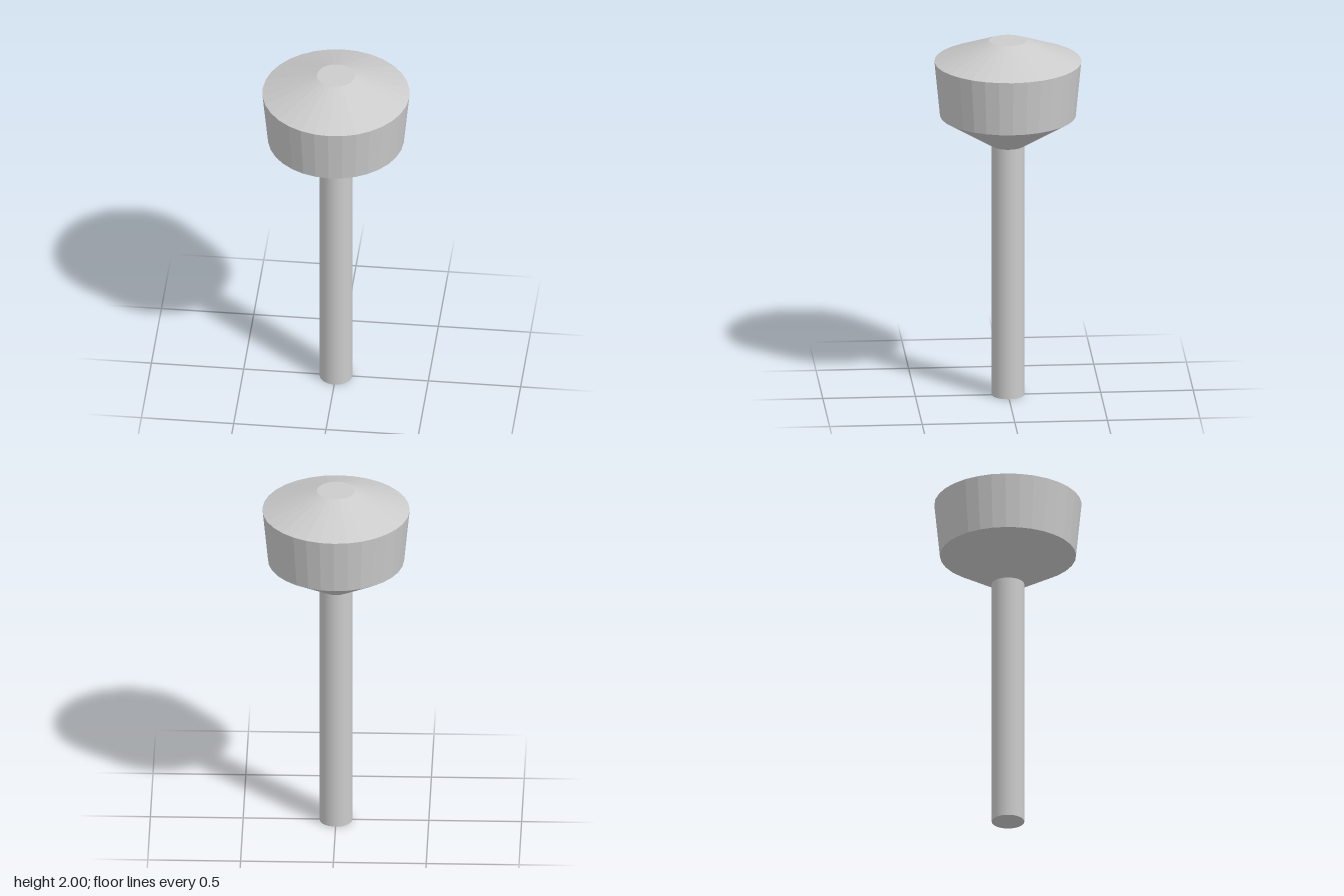
import * as THREE from 'three';

const SIDES = 32;

export function createModel() {
  const group = new THREE.Group();
  const add = (name, geometry, flatShading) => {
    const material = new THREE.MeshStandardMaterial({ color: 0xcccccc, flatShading });
    const mesh = new THREE.Mesh(geometry, material);
    mesh.name = name;
    group.add(mesh);
    return mesh;
  };

  // Smooth round shaft, running up to the underside of the head
  const stemHeight = 1.412;
  add('stem', new THREE.CylinderGeometry(0.088, 0.088, stemHeight, SIDES), false)
    .position.y = stemHeight / 2;

  // Faceted head: lower cone, slightly flared band, sloping roof and flat cap
  const profile = [
    [0, 1.41], [0.088, 1.41], [0.367, 1.58], [0.397, 1.884], [0.102, 2], [0, 2],
  ].map(([r, y]) => new THREE.Vector2(r, y));
  add('head', new THREE.LatheGeometry(profile, SIDES), true);

  return group;
}
